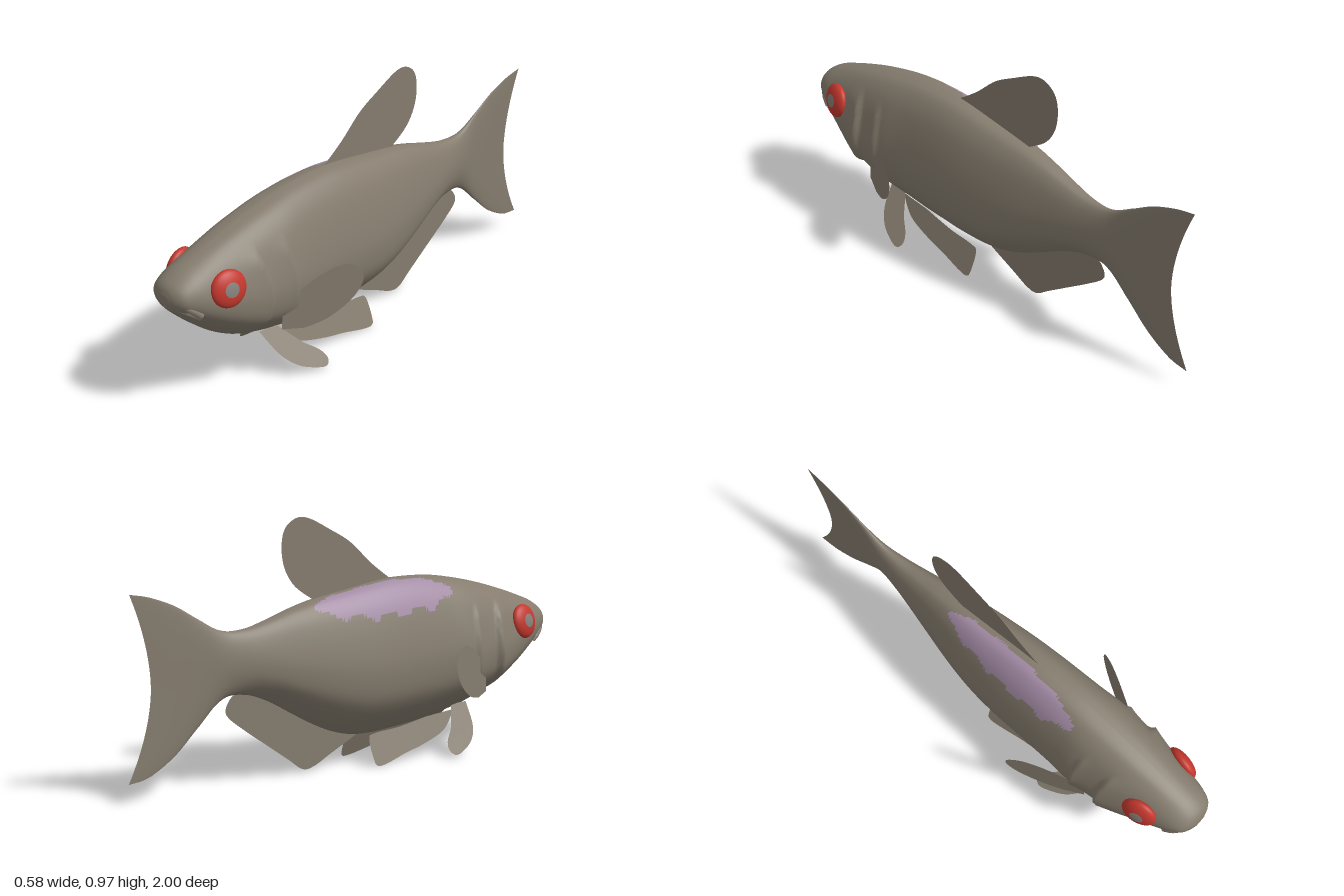
import * as THREE from 'three';

const skin = new THREE.MeshStandardMaterial({ color: 0x857c6e, side: THREE.DoubleSide });
skin.name = 'skin';
const red = new THREE.MeshStandardMaterial({ color: 0xc4382e });
red.name = 'eyeRed';
const pupilGrey = new THREE.MeshStandardMaterial({ color: 0x85807a });
pupilGrey.name = 'pupilGrey';
const mauve = new THREE.MeshStandardMaterial({ color: 0xa48ca6, side: THREE.DoubleSide });
mauve.name = 'mauvePatch';

// Body stations from snout to tail edge: z, top, bottom, half width
const STATIONS = [
  [1.0, 0.505, 0.47, 0.025], [0.99, 0.53, 0.45, 0.055], [0.97, 0.55, 0.425, 0.082],
  [0.93, 0.573, 0.385, 0.102], [0.88, 0.592, 0.34, 0.118], [0.8, 0.62, 0.275, 0.138],
  [0.7, 0.65, 0.215, 0.16], [0.6, 0.675, 0.178, 0.17], [0.5, 0.695, 0.155, 0.175],
  [0.4, 0.71, 0.138, 0.167], [0.3, 0.716, 0.125, 0.163], [0.2, 0.715, 0.117, 0.16],
  [0.1, 0.705, 0.112, 0.156], [0, 0.69, 0.118, 0.148], [-0.1, 0.675, 0.145, 0.135],
  [-0.2, 0.658, 0.19, 0.117], [-0.3, 0.633, 0.245, 0.096], [-0.4, 0.603, 0.3, 0.075],
  [-0.5, 0.58, 0.335, 0.054], [-0.6, 0.583, 0.33, 0.035], [-0.68, 0.635, 0.24, 0.02],
  [-0.755, 0.69, 0.15, 0.011], [-0.835, 0.728, 0.09, 0.005], [-0.9, 0.745, 0.075, 0.001],
];
const heights = new THREE.CatmullRomCurve3(STATIONS.map(s => new THREE.Vector3(s[0], s[1], s[2])), false, 'catmullrom');
const widths = new THREE.CatmullRomCurve3(STATIONS.map(s => new THREE.Vector3(s[0], s[3], 0)), false, 'catmullrom');

// Half section: rounded back, V-shaped belly (relative width, relative height)
const SECTION = new THREE.SplineCurve([
  [0, 1], [0.32, 0.975], [0.6, 0.88], [0.8, 0.74], [0.95, 0.57], [1, 0.43],
  [0.93, 0.28], [0.7, 0.17], [0.38, 0.08], [0.1, 0.015], [0, 0],
].map(p => new THREE.Vector2(...p)));

const step = THREE.MathUtils.smoothstep;

// A raised flap that ends sharply at its rear edge and fades forward
const flap = (d, fade) => d > 0 ? Math.exp(-d / fade) : Math.max(0, 1 + d / 0.015);

function bodyPoint(t, j, half) {
  const a = heights.getPoint(t), w = Math.max(widths.getPoint(t).y, 0.0005);
  const side = j <= half ? 1 : -1;
  const u = (j <= half ? j : 2 * half - j) / half;
  const v = SECTION.getPoint(u);
  // rounder section at the snout and tail
  const round = Math.max(step(a.x, 0.7, 0.97), step(-a.x, 0.3, 0.65)) * 0.9;
  const rx = THREE.MathUtils.lerp(v.x, Math.sin(u * Math.PI), round);
  const h = THREE.MathUtils.lerp(v.y, 0.5 + 0.5 * Math.cos(u * Math.PI), round);
  const y = a.z + (a.y - a.z) * h;
  let z = a.x, x = w * rx;
  // gill cover and shoulder ridge
  const mask = rx * (1 - step(y, 0.54, 0.61));
  x += mask * 0.02 * flap(z - 0.64 - 1.2 * (y - 0.43) ** 2, 0.07);
  x += mask * 0.012 * flap(z - 0.52 - 0.6 * (y - 0.4) ** 2, 0.03);
  // forked trailing edge of the tail
  if (z < -0.6) z = -0.6 + (z + 0.6) * (1 + (h > 0.5 ? 0.27 : 0.33) * Math.abs(2 * h - 1) ** 1.8);
  return [side * x, y, z];
}

function inPatch(x, y, z) {
  const k = 1 - ((z - 0.115) / 0.325) ** 2;
  if (k <= 0 || y < 0.5) return false;
  const centre = -0.068 - 0.065 * (z - 0.115);
  const wave = 0.005 * Math.sin(z * 45);
  return Math.abs(x - centre) < 0.046 * Math.sqrt(k) + wave;
}

function makeBody() {
  const rings = 210, half = 40, n = half * 2;
  const pos = [], plain = [], patch = [];
  for (let i = 0; i <= rings; i++)
    for (let j = 0; j < n; j++) pos.push(...bodyPoint(i / rings, j, half));
  const addFace = (a, b, c) => {
    const mid = k => (pos[a * 3 + k] + pos[b * 3 + k] + pos[c * 3 + k]) / 3;
    (inPatch(mid(0), mid(1), mid(2)) ? patch : plain).push(a, b, c);
  };
  for (let i = 0; i < rings; i++)
    for (let j = 0; j < n; j++) {
      const a = i * n + j, b = i * n + (j + 1) % n;
      addFace(a, b, a + n);
      addFace(b, b + n, a + n);
    }
  // snout cap
  pos.push(0, 0.487, 1.0);
  for (let j = 0; j < n; j++) plain.push(pos.length / 3 - 1, (j + 1) % n, j);
  const g = new THREE.BufferGeometry();
  g.setAttribute('position', new THREE.Float32BufferAttribute(pos, 3));
  g.setIndex([...plain, ...patch]);
  g.addGroup(0, plain.length, 0);
  g.addGroup(plain.length, patch.length, 1);
  g.computeVertexNormals();
  const mesh = new THREE.Mesh(g, [skin, mauve]);
  mesh.name = 'body';
  return mesh;
}

// Thin fin from a side outline (z, y); xOf leans it away from the body
function makeFin(name, outline, xOf = () => 0) {
  const shape = new THREE.Shape();
  shape.moveTo(...outline[0]);
  shape.splineThru(outline.slice(1).map(p => new THREE.Vector2(...p)));
  const g = new THREE.ShapeGeometry(shape, 48);
  const p = g.attributes.position;
  for (let i = 0; i < p.count; i++) {
    const z = p.getX(i), y = p.getY(i);
    p.setXYZ(i, xOf(z, y), y, z);
  }
  g.computeVertexNormals();
  const mesh = new THREE.Mesh(g, skin);
  mesh.name = name;
  return mesh;
}

function makeEye(side) {
  const eye = new THREE.Group();
  eye.name = side > 0 ? 'leftEye' : 'rightEye';
  const iris = new THREE.Mesh(new THREE.SphereGeometry(0.07, 40, 20, 0, Math.PI * 2, 0.41, Math.PI - 0.41), red);
  iris.name = 'iris';
  const pupil = new THREE.Mesh(new THREE.SphereGeometry(0.07, 40, 8, 0, Math.PI * 2, 0, 0.41), pupilGrey);
  pupil.name = 'pupil';
  const ball = new THREE.Group();
  ball.add(iris, pupil);
  ball.scale.y = 0.42;
  ball.rotation.z = -side * (Math.PI / 2 - 0.2);
  eye.add(ball);
  eye.position.set(side * 0.127, 0.5, 0.81);
  eye.rotation.y = -side * 0.2;
  return eye;
}

function makeLip(name, pts, r) {
  const both = [...pts.slice(1).reverse().map(([x, y, z]) => [-x, y, z]), ...pts];
  const curve = new THREE.CatmullRomCurve3(both.map(p => new THREE.Vector3(...p)));
  const mesh = new THREE.Mesh(new THREE.TubeGeometry(curve, 40, r, 10), skin);
  mesh.name = name;
  return mesh;
}

export function createModel() {
  const fish = new THREE.Group();
  fish.name = 'fish';
  fish.add(makeBody());

  // Mouth
  fish.add(makeLip('upperLip', [[0, 0.493, 0.986], [0.05, 0.48, 0.972], [0.08, 0.453, 0.945], [0.092, 0.42, 0.91]], 0.014));
  fish.add(makeLip('lowerLip', [[0, 0.462, 0.986], [0.045, 0.452, 0.968], [0.072, 0.432, 0.94], [0.085, 0.41, 0.91]], 0.012));

  // Single fins on the centre line
  fish.add(makeFin('dorsalFin', [
    [0.2, 0.71], [0.1, 0.78], [0, 0.865], [-0.1, 0.92], [-0.2, 0.967], [-0.26, 0.97],
    [-0.31, 0.935], [-0.327, 0.87], [-0.315, 0.79], [-0.27, 0.72], [-0.19, 0.665], [-0.1, 0.62], [0.1, 0.66],
  ]));
  fish.add(makeFin('analFin', [
    [0.06, 0.13], [0, 0.1], [-0.1, 0.055], [-0.18, 0.018], [-0.235, 0.015], [-0.3, 0.06], [-0.4, 0.13],
    [-0.5, 0.2], [-0.575, 0.26], [-0.582, 0.3], [-0.54, 0.345], [-0.45, 0.36], [-0.2, 0.25],
  ]));

  // Paired fins and eyes
  const pectoral = [
    [0.58, 0.24], [0.57, 0.32], [0.51, 0.39], [0.42, 0.445], [0.35, 0.458], [0.3, 0.425],
    [0.297, 0.37], [0.34, 0.305], [0.42, 0.25], [0.5, 0.228],
  ];
  const frontPelvic = [
    [0.58, 0.18], [0.55, 0.1], [0.5, 0.05], [0.43, 0.02], [0.385, 0.012], [0.365, 0.03],
    [0.38, 0.06], [0.43, 0.1], [0.47, 0.145], [0.5, 0.18],
  ];
  const rearPelvic = [
    [0.5, 0.16], [0.42, 0.09], [0.3, 0.052], [0.2, 0.032], [0.1, 0.008], [0.05, 0.004],
    [0.036, 0.03], [0.038, 0.105], [0.07, 0.122], [0.2, 0.13], [0.35, 0.15],
  ];
  for (const s of [1, -1]) {
    const label = s > 0 ? 'left' : 'right';
    fish.add(makeFin(label + 'PectoralFin', pectoral, z => s * (0.165 + 0.48 * (0.55 - z))));
    fish.add(makeFin(label + 'FrontPelvicFin', frontPelvic, (z, y) => s * (0.04 + 0.94 * (0.17 - y))));
    fish.add(makeFin(label + 'RearPelvicFin', rearPelvic, (z, y) => s * (0.05 + 0.41 * (0.15 - y))));
    fish.add(makeEye(s));
  }
  return fish;
}
